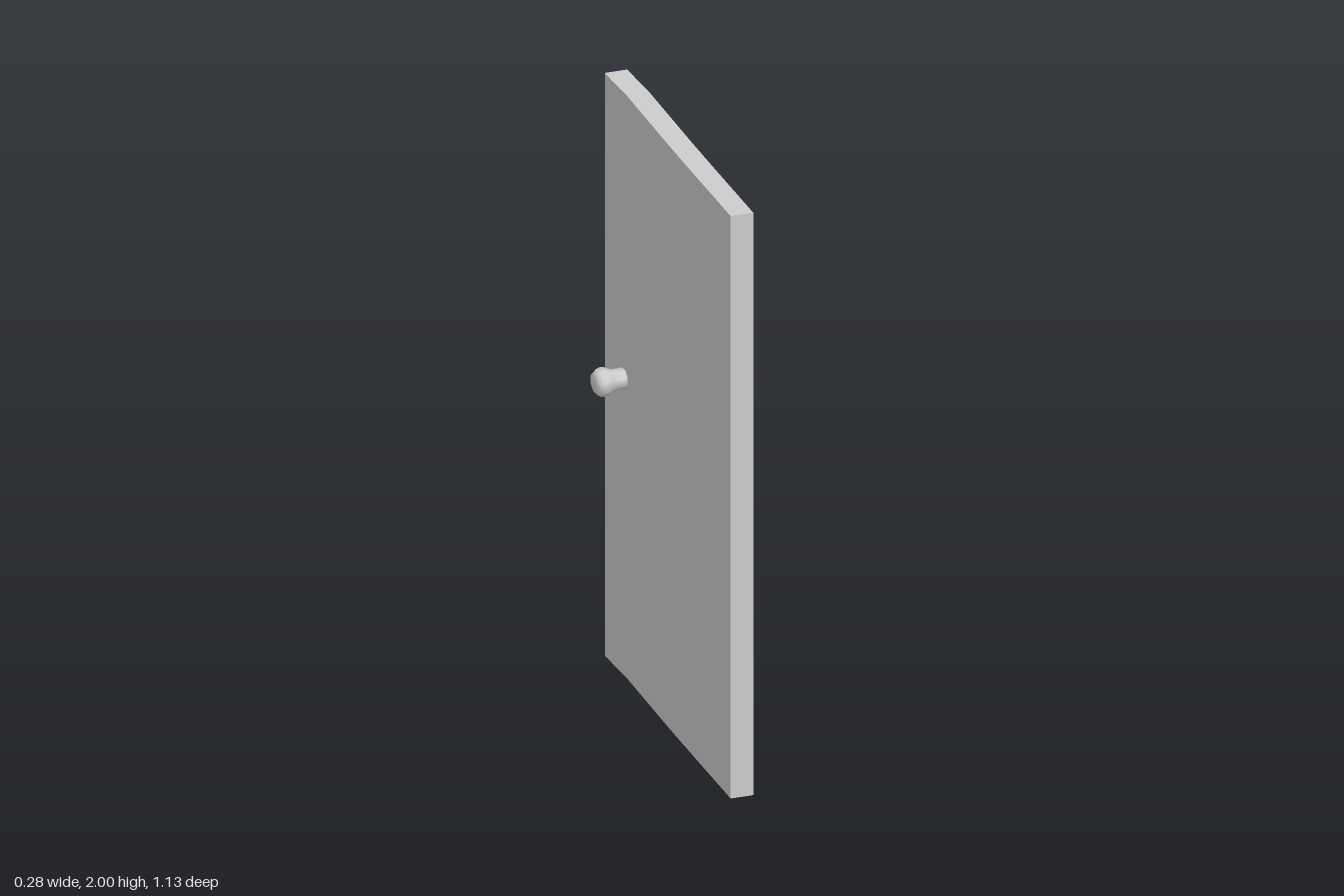
import * as THREE from 'three';

const material = new THREE.MeshStandardMaterial({ color: 0xcccccc });

// Door slab: a very slightly bowed plan, extruded upwards
function makeSlab() {
  const bow = [[-0.567, 0], [-0.45, 0.003], [-0.39, 0.006], [0, 0.001], [0.2, 0], [0.567, 0]]; // z, x shift
  const edge = (x) => bow.map(([z, shift]) => new THREE.Vector2(x + shift, -z));
  const plan = new THREE.Shape([...edge(-0.043), ...edge(0.032).reverse()]);
  const geometry = new THREE.ExtrudeGeometry(plan, { depth: 2, bevelEnabled: false });
  geometry.rotateX(-Math.PI / 2);
  const slab = new THREE.Mesh(geometry, material);
  slab.name = 'doorSlab';
  return slab;
}

// Eight-sided knob, turned along +x from the middle of the door
function makeKnob(side) {
  const profile = [
    [0.034, 0], [0.034, 0.05], [0.034, 0.072], [0.038, 0.086], [0.045, 0.098],
    [0.047, 0.112], [0.044, 0.126], [0.036, 0.136], [0.024, 0.141], [0, 0.142],
  ].map(([r, y]) => new THREE.Vector2(r, y));
  const geometry = new THREE.LatheGeometry(profile, 8, Math.PI / 8);
  geometry.rotateZ(-Math.PI / 2);
  if (side < 0) geometry.rotateY(Math.PI);
  const knob = new THREE.Mesh(geometry, material);
  knob.name = side > 0 ? 'leftKnob' : 'rightKnob';
  return knob;
}

export function createModel() {
  const door = new THREE.Group();
  door.name = 'door';
  door.add(makeSlab());

  // Knob pair on a slightly skewed spindle
  const knobs = new THREE.Group();
  knobs.name = 'knobs';
  knobs.add(makeKnob(1), makeKnob(-1));
  knobs.position.set(0, 1.02, -0.412);
  knobs.rotation.y = 0.07;
  door.add(knobs);
  return door;
}
